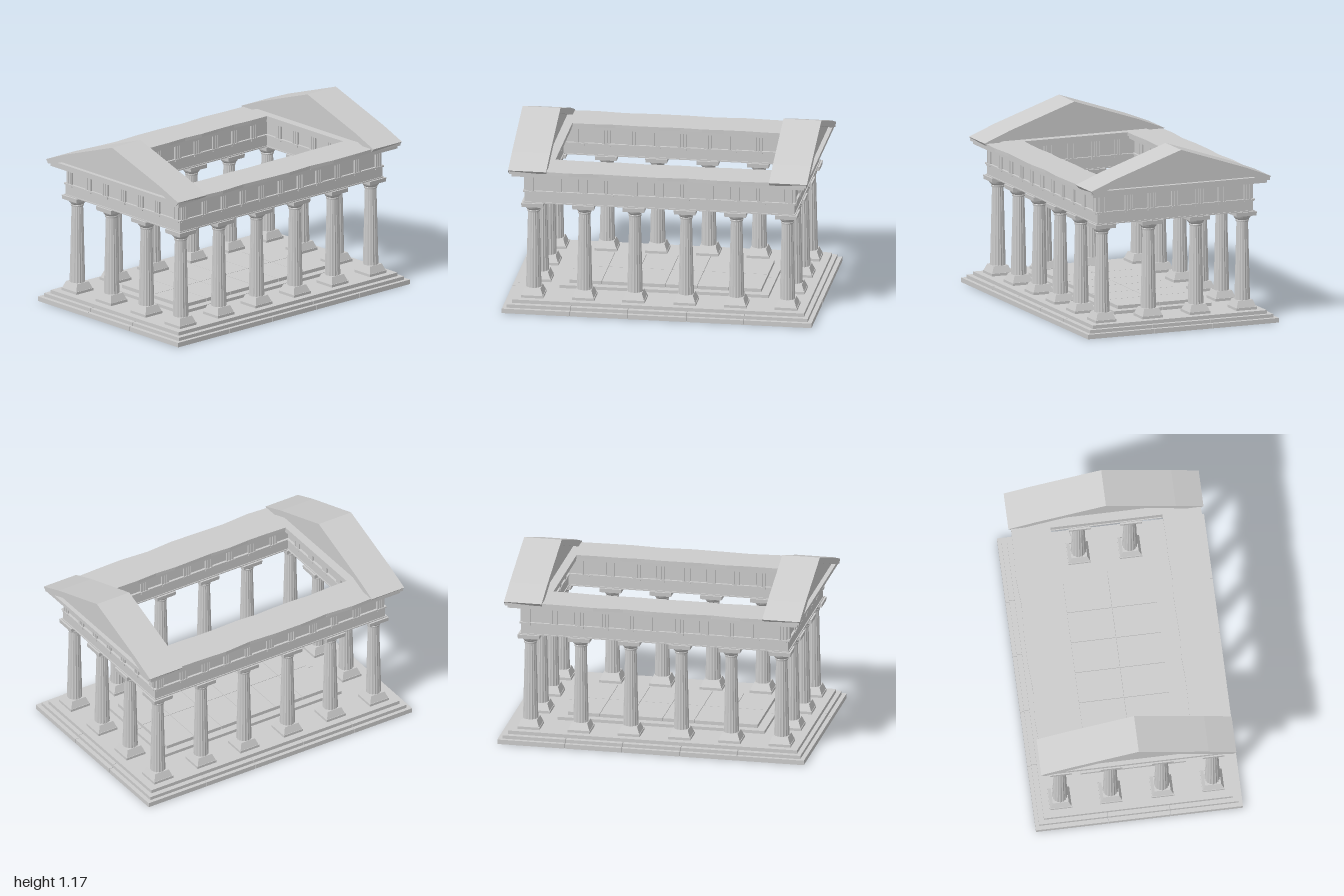
import * as THREE from 'three';

const stone = new THREE.MeshStandardMaterial({ color: 0xcccccc, flatShading: true });

function add(parent, name, geometry, x = 0, y = 0, z = 0) {
  const mesh = new THREE.Mesh(geometry, stone);
  mesh.name = name;
  mesh.position.set(x, y, z);
  parent.add(mesh);
  return mesh;
}

function group(parent, name) {
  const g = new THREE.Group();
  g.name = name;
  parent.add(g);
  return g;
}

// Layer of paving blocks separated by thin joints; xs and zs list the joint lines.
function paving(parent, name, hx, hz, y0, y1, xs, zs) {
  const layer = group(parent, name);
  const gx = [-hx, ...xs, hx], gz = [-hz, ...zs, hz], gap = 0.003;
  for (let i = 0; i + 1 < gx.length; i++) {
    for (let j = 0; j + 1 < gz.length; j++) {
      const w = gx[i + 1] - gx[i], d = gz[j + 1] - gz[j];
      add(layer, 'block', new THREE.BoxGeometry(w - gap, y1 - y0, d - gap),
        gx[i] + w / 2, (y0 + y1) / 2, gz[j] + d / 2);
    }
  }
}

// Rectangular outline, optionally with worn, wavy long edges.
function outline(target, hx, hz, wear) {
  const pts = [];
  const n = wear ? 10 : 1;
  for (const side of [1, -1]) {
    for (let i = 0; i <= n; i++) {
      const dip = i > 0 && i < n ? wear * (0.5 + 0.5 * Math.sin(i * 2.3 + side + hx * 9)) : 0;
      pts.push(new THREE.Vector2(side * (hx - dip), side * hz * (2 * i / n - 1)));
    }
  }
  return target.setFromPoints(pts);
}

// Rectangular frame lying flat between two heights.
function ringGeometry(ox, oz, ix, iz, y0, y1, wear = 0) {
  const shape = outline(new THREE.Shape(), ox, oz, wear);
  shape.holes.push(outline(new THREE.Path(), ix, iz, -wear * 0.6));
  const geo = new THREE.ExtrudeGeometry(shape, { depth: y1 - y0, bevelEnabled: false });
  return geo.rotateX(-Math.PI / 2).translate(0, y0, 0);
}

// Square block whose top may be narrower than its foot.
function squareTaper(top, bottom, h) {
  const k = Math.SQRT2;
  return new THREE.CylinderGeometry(top * k, bottom * k, h, 4).rotateY(Math.PI / 4);
}

// Shaft with every other vertical edge drawn inwards as a flute.
function flutedShaft() {
  const sides = 32;
  const geo = new THREE.CylinderGeometry(0.037, 0.05, 0.515, sides, 3);
  const p = geo.attributes.position;
  for (let i = 0; i < p.count; i++) {
    const x = p.getX(i), z = p.getZ(i);
    const step = Math.round(Math.atan2(x, z) / (2 * Math.PI / sides));
    if (Math.abs(step) % 2 === 1) {
      p.setX(i, x * 0.93);
      p.setZ(i, z * 0.93);
    }
  }
  return geo;
}

const columnParts = {
  plinth: [new THREE.BoxGeometry(0.144, 0.017, 0.144), 0.083],
  columnFoot: [squareTaper(0.051, 0.069, 0.045), 0.113],
  shaft: [flutedShaft(), 0.392],
  capital: [new THREE.LatheGeometry([[0, 0.642], [0.041, 0.642], [0.043, 0.652],
    [0.041, 0.656], [0.052, 0.668], [0.062, 0.687], [0, 0.687]]
    .map(([r, y]) => new THREE.Vector2(r, y)), 20), 0],
  abacus: [squareTaper(0.071, 0.069, 0.026), 0.698],
};

function addColumn(parent, x, z) {
  const column = group(parent, 'column');
  column.position.set(x, 0, z);
  for (const [name, [geo, y]] of Object.entries(columnParts)) add(column, name, geo, 0, y, 0);
}

// Frieze ornament along one wall, built facing +z and then turned into place.
function addFrieze(parent, centres, x, z, angle) {
  const wall = group(parent, 'friezeOrnament');
  wall.position.set(x, 0, z);
  wall.rotation.y = angle;
  centres.forEach((c, i) => {
    for (const k of [-1, 0, 1]) {
      add(wall, 'triglyphBar', new THREE.BoxGeometry(0.014, 0.112, 0.02), c + k * 0.0185, 0.848, 0.003);
    }
    add(wall, 'triglyphBack', new THREE.BoxGeometry(0.05, 0.112, 0.012), c, 0.848, 0);
    add(wall, 'regula', new THREE.BoxGeometry(0.055, 0.015, 0.03), c, 0.784, 0.003);
    if (i + 1 < centres.length) {
      const width = centres[i + 1] - c - 0.062;
      add(wall, 'metope', new THREE.BoxGeometry(width, 0.096, 0.008), (c + centres[i + 1]) / 2, 0.849, 0.002);
    }
  });
}

function polygon(points) {
  return new THREE.Shape(points.map(([x, y]) => new THREE.Vector2(x, y)));
}

function addPediment(parent, z) {
  const pediment = group(parent, 'pediment');
  // Raking roof slabs
  const rake = polygon([[0.605, 0.925], [0.627, 0.95], [0.45, 1.02], [0, 1.172], [-0.45, 1.02],
    [-0.627, 0.95], [-0.605, 0.925], [-0.53, 0.945], [0, 1.136], [0.53, 0.945]]);
  add(pediment, 'rakingCornice',
    new THREE.ExtrudeGeometry(rake, { depth: 0.245, bevelEnabled: false }), 0, 0, z - 0.1225);
  // Recessed triangular wall
  const wall = polygon([[-0.56, 0.94], [0.56, 0.94], [0, 1.145]]);
  add(pediment, 'tympanum',
    new THREE.ExtrudeGeometry(wall, { depth: 0.175, bevelEnabled: false }), 0, 0, z - 0.0875);
}

export function createModel() {
  const model = new THREE.Group();
  model.name = 'temple';

  // Stepped platform and raised inner floor
  const jx = [-0.2, 0.2], jz = [-0.56, -0.19, 0.19, 0.56];
  const platform = group(model, 'platform');
  paving(platform, 'lowerStep', 0.667, 1, 0, 0.03, jx, jz);
  paving(platform, 'middleStep', 0.642, 0.972, 0.03, 0.052, jx, jz);
  paving(platform, 'upperStep', 0.608, 0.943, 0.052, 0.075, [], []);
  paving(platform, 'innerStep', 0.34, 0.675, 0.075, 0.095, [0], []);
  paving(platform, 'innerFloor', 0.29, 0.62, 0.095, 0.117, [0], [-0.41, -0.205, 0, 0.205, 0.41]);

  // Four columns across each end, six along each side
  const colonnade = group(model, 'colonnade');
  const xs = [-0.49, -0.165, 0.165, 0.49];
  const zs = [-0.818, -0.49, -0.165, 0.165, 0.49, 0.818];
  for (const x of xs) {
    for (const z of zs) {
      if (Math.abs(x) > 0.4 || Math.abs(z) > 0.8) addColumn(colonnade, x, z);
    }
  }

  // Beam, frieze and their mouldings
  const entablature = group(model, 'entablature');
  add(entablature, 'architrave', ringGeometry(0.543, 0.871, 0.437, 0.765, 0.711, 0.785));
  add(entablature, 'lowerFillet', ringGeometry(0.549, 0.877, 0.431, 0.759, 0.711, 0.718));
  add(entablature, 'taenia', ringGeometry(0.551, 0.879, 0.429, 0.757, 0.783, 0.793));
  add(entablature, 'frieze', ringGeometry(0.535, 0.863, 0.445, 0.773, 0.785, 0.907));
  add(entablature, 'upperFillet', ringGeometry(0.548, 0.876, 0.432, 0.76, 0.898, 0.907));

  // Triglyphs and panels, outside and inside
  const endMarks = [-0.505, -0.325, -0.165, 0, 0.165, 0.325, 0.505];
  const sideMarks = [-0.835, -0.655, -0.49, -0.325, -0.165, 0, 0.165, 0.325, 0.49, 0.655, 0.835];
  const innerEnd = endMarks.slice(1, -1), innerSide = sideMarks.slice(1, -1);
  for (const s of [1, -1]) {
    const front = s > 0 ? 0 : Math.PI;
    addFrieze(entablature, endMarks, 0, s * 0.863, front);
    addFrieze(entablature, innerEnd, 0, s * 0.773, Math.PI - front);
    addFrieze(entablature, sideMarks, s * 0.535, 0, s * Math.PI / 2);
    addFrieze(entablature, innerSide, s * 0.445, 0, -s * Math.PI / 2);
  }

  // Projecting cornice with worn upper edges
  add(model, 'corniceSoffit', ringGeometry(0.607, 0.943, 0.373, 0.703, 0.905, 0.925));
  add(model, 'corniceTop', ringGeometry(0.622, 0.957, 0.36, 0.697, 0.925, 0.947, 0.016));

  // Pediment at each end
  addPediment(model, 0.841);
  addPediment(model, -0.841);
  return model;
}
